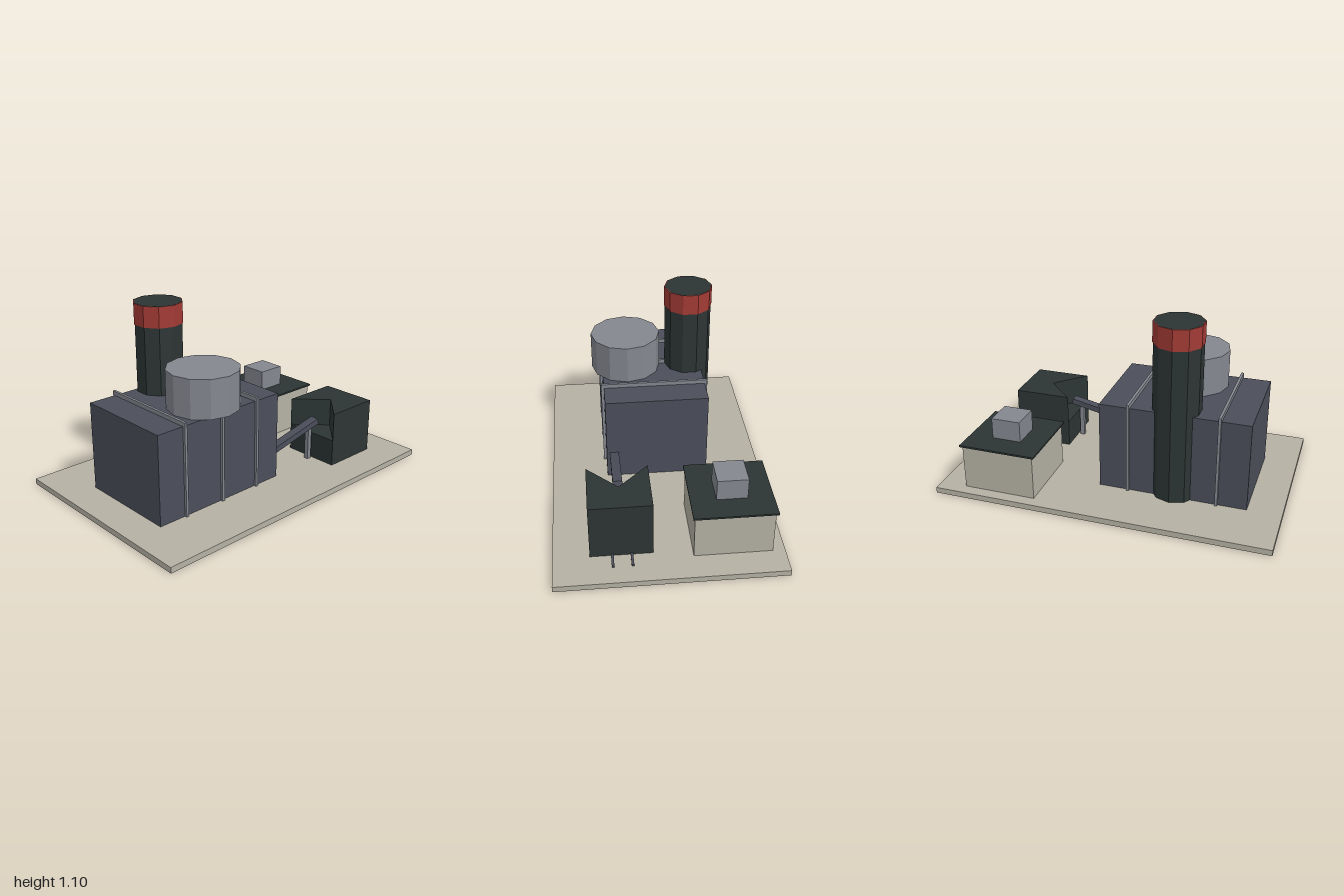
import * as THREE from 'three';

const paint = (name, color) => {
  const m = new THREE.MeshStandardMaterial({ color });
  m.name = name;
  return m;
};

export function createModel() {
  const model = new THREE.Group();
  model.name = 'factory';

  const concrete = paint('concrete', 0xb5b1a4);
  const slate = paint('slate', 0x4b4e5a);
  const steel = paint('steel', 0x84878f);
  const charcoal = paint('charcoal', 0x2c3534);
  const red = paint('red', 0xa23a34);
  for (const m of [steel, charcoal, red]) m.flatShading = true;

  const add = (name, geometry, material) => {
    const mesh = new THREE.Mesh(geometry, material);
    mesh.name = name;
    model.add(mesh);
    return mesh;
  };
  // Box given by its limits along each axis
  const box = (name, material, [x0, x1], [y0, y1], [z0, z1]) => {
    const mesh = add(name, new THREE.BoxGeometry(x1 - x0, y1 - y0, z1 - z0), material);
    mesh.position.set((x0 + x1) / 2, (y0 + y1) / 2, (z0 + z1) / 2);
    return mesh;
  };
  // Upright faceted cylinder
  const drum = (name, material, r, sides, y0, y1, x, z, open = false) => {
    const mesh = add(name, new THREE.CylinderGeometry(r, r, y1 - y0, sides, 1, open), material);
    mesh.position.set(x, (y0 + y1) / 2, z);
    return mesh;
  };

  const ground = 0.035;
  box('base', concrete, [-1, 1], [0, ground], [-0.645, 0.645]);

  // Main hall with three bands wrapped around it
  box('hall', slate, [-0.798, 0.086], [ground, 0.57], [-0.31, 0.307]);
  for (const x of [-0.621, -0.356, -0.091]) {
    box('hallBand', steel, [x - 0.008, x + 0.008], [ground, 0.595], [-0.325, 0.323]);
  }

  // Roof tank and chimney
  drum('tank', steel, 0.212, 12, 0.57, 0.8, -0.356, 0.157);
  drum('chimney', charcoal, 0.142, 10, ground, 1.1, -0.356, -0.231);
  drum('chimneyBand', red, 0.146, 10, 0.975, 1.099, -0.356, -0.231);

  // Loading house with a V-shaped intake in its side
  box('loadingHouseBase', charcoal, [0.443, 0.792], [ground, 0.2], [0.087, 0.44]);
  const plan = new THREE.Shape([
    [0.443, 0.087], [0.792, 0.087], [0.792, 0.44], [0.443, 0.44], [0.617, 0.263],
  ].map(([x, z]) => new THREE.Vector2(x, z)));
  const upper = new THREE.ExtrudeGeometry(plan, { depth: 0.175, bevelEnabled: false });
  upper.rotateX(Math.PI / 2).translate(0, 0.375, 0);
  add('loadingHouseTop', upper, charcoal);

  // Conveyor from the hall into the intake, and its post
  const conveyor = box('conveyor', slate, [0.045, 0.478], [0.212, 0.248], [0.235, 0.29]);
  conveyor.rotation.z = 0.215;
  box('conveyorPost', steel, [0.4, 0.428], [ground, 0.235], [0.249, 0.277]);

  // Rails leaving the loading house
  for (const z of [0.207, 0.315]) {
    box('rail', slate, [0.79, 0.885], [ground, 0.046], [z - 0.007, z + 0.007]);
  }

  // Small shed
  box('shedWalls', concrete, [0.4, 0.838], [ground, 0.305], [-0.575, -0.132]);
  box('shedRoof', charcoal, [0.385, 0.852], [0.304, 0.315], [-0.588, -0.122]);
  box('shedVent', steel, [0.53, 0.707], [0.315, 0.442], [-0.442, -0.267]);

  return model;
}
